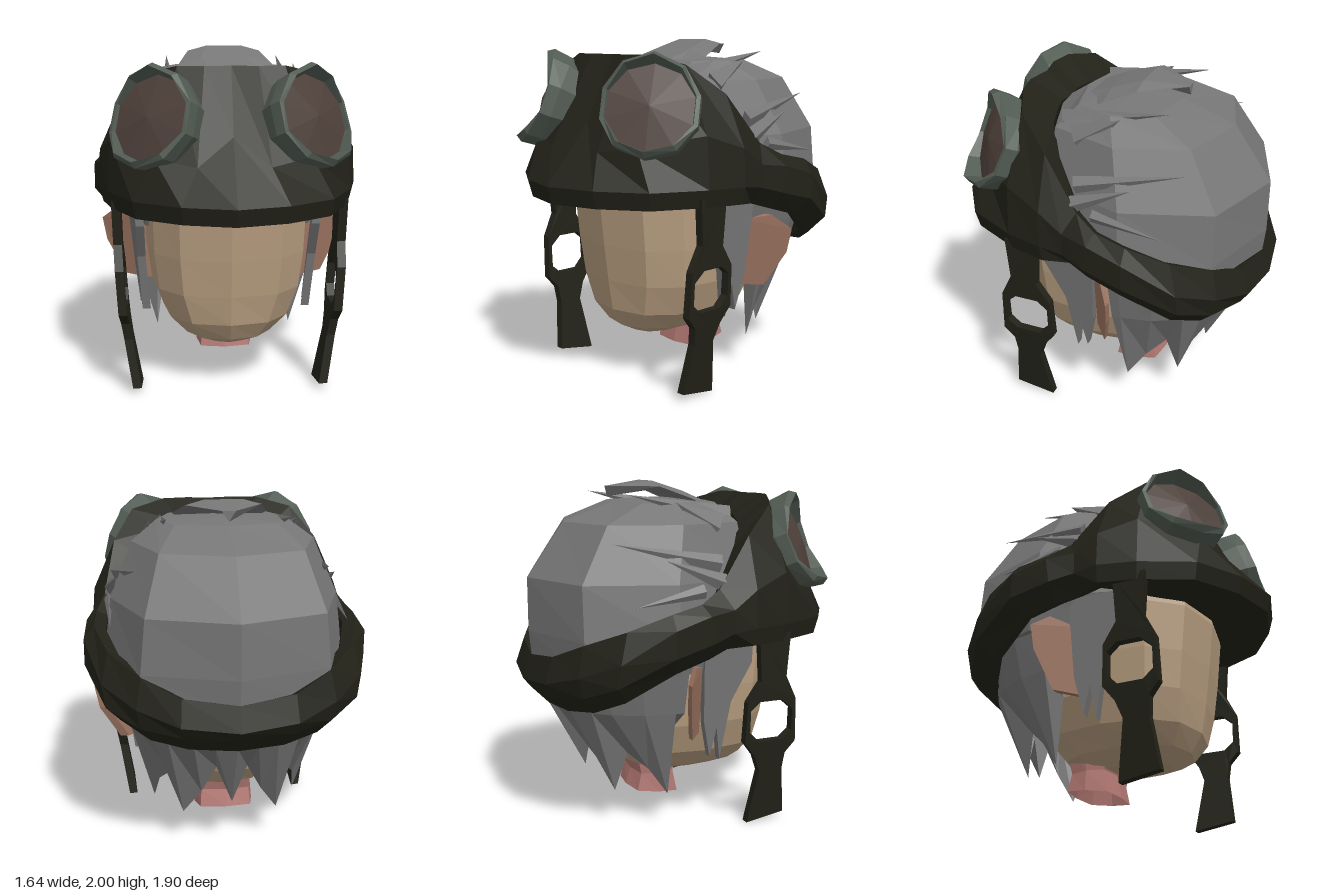
import * as THREE from 'three';

const mat = (color) => new THREE.MeshStandardMaterial({ color, flatShading: true, side: THREE.DoubleSide });
const M = {
  skin: mat(0xb89e80), ear: mat(0x9c7461), neck: mat(0xb27873), hair: mat(0x777777),
  band: mat(0x222219), rim: mat(0x525c53), lens: mat(0x4e403a),
};

// Skin a surface through cross-sections of equal length ([x, y, z] points)
function loft(sections, { closed = true, caps = false } = {}) {
  const n = sections[0].length, pos = sections.flat(2), index = [];
  const cols = closed ? n : n - 1;
  for (let s = 0; s < sections.length - 1; s++) {
    for (let i = 0; i < cols; i++) {
      const a = s * n + i, b = s * n + (i + 1) % n;
      index.push(a, b, a + n, b, b + n, a + n);
    }
  }
  if (caps) {
    for (const s of [0, sections.length - 1]) {
      const c = pos.length / 3;
      for (let k = 0; k < 3; k++) pos.push(sections[s].reduce((t, p) => t + p[k], 0) / n);
      for (let i = 0; i < n; i++) {
        const a = s * n + i, b = s * n + (i + 1) % n;
        index.push(...(s ? [a, b, c] : [b, a, c]));
      }
    }
  }
  const g = new THREE.BufferGeometry();
  g.setAttribute('position', new THREE.Float32BufferAttribute(pos, 3));
  g.setIndex(index);
  g.computeVertexNormals();
  return g;
}

// Horizontal ring: half-width w, from front z f to back z b; p < 1 makes it boxier
function ring(y, w, f, b, n = 12, p = 1) {
  const pw = (v) => Math.sign(v) * Math.abs(v) ** p;
  return Array.from({ length: n }, (_, i) => {
    const a = i / n * Math.PI * 2;
    return [w * pw(Math.sin(a)), y, (f + b) / 2 + (f - b) / 2 * pw(Math.cos(a))];
  });
}

// Thin upright panel outlined in (z, y) whose x follows a rule
function sidePanel(outline, thick, xOf, hole) {
  const toV = (p) => new THREE.Vector2(p[0], p[1]);
  const shape = new THREE.Shape(outline.map(toV));
  if (hole) shape.holes.push(new THREE.Path(hole.map(toV)));
  const g = new THREE.ExtrudeGeometry(shape, { depth: thick, bevelEnabled: false });
  const p = g.attributes.position;
  for (let i = 0; i < p.count; i++) {
    const z = p.getX(i), y = p.getY(i);
    p.setXYZ(i, xOf(y, z) + p.getZ(i), y, z);
  }
  g.computeVertexNormals();
  return g;
}

// Flattened lock of hair from base to tip
function lock(base, tip, r) {
  const a = new THREE.Vector3(...base), b = new THREE.Vector3(...tip);
  const d = b.clone().sub(a);
  const g = new THREE.ConeGeometry(r, d.length(), 4);
  g.scale(0.6, 1, 1);
  g.applyQuaternion(new THREE.Quaternion().setFromUnitVectors(new THREE.Vector3(0, 1, 0), d.normalize()));
  const c = a.add(b).multiplyScalar(0.5);
  return g.translate(c.x, c.y, c.z);
}

export function createModel() {
  const root = new THREE.Group();
  const add = (name, geo, material, parent = root) => {
    const m = new THREE.Mesh(geo, material);
    m.name = name;
    parent.add(m);
  };

  // Head and neck
  add('face', loft([
    ring(0.25, 0.14, 0.3, -0.22, 12, 0.8), ring(0.31, 0.28, 0.42, -0.34, 12, 0.8),
    ring(0.42, 0.39, 0.49, -0.43, 12, 0.8), ring(0.6, 0.46, 0.52, -0.5, 12, 0.75),
    ring(0.82, 0.49, 0.55, -0.55, 12, 0.75), ring(1.1, 0.5, 0.58, -0.55, 12, 0.75),
    ring(1.3, 0.48, 0.55, -0.5, 12, 0.75),
  ], { caps: true }), M.skin);
  const neckBase = ring(0.12, 0.18, -0.02, -0.32, 8, 0.45).map(([x, y, z]) => [x, y + (z + 0.17) * -0.12, z]);
  add('neck', loft([neckBase, ring(0.24, 0.17, -0.05, -0.29, 8, 0.45), ring(0.42, 0.19, 0, -0.34, 8, 0.45)]), M.neck);

  // Hair: broad-faceted dome, crown flap, ragged back
  add('hairDome', loft([
    ring(0.95, 0.66, 0.3, -0.89, 8, 0.85), ring(1.15, 0.7, 0.4, -0.91, 8, 0.85),
    ring(1.46, 0.66, 0.42, -0.91, 8, 0.85), ring(1.77, 0.53, 0.36, -0.69, 8, 0.82),
    ring(1.88, 0.38, 0.2, -0.38, 8, 0.75), ring(1.9, 0.05, 0, -0.2, 8),
  ], { caps: true }), M.hair);
  const flap = (z, y, w, drop) => [
    [-w, y - drop, z], [-w / 2, y, z], [0, y, z], [w / 2, y, z], [w, y - drop, z], [0, y - 0.06, z],
  ];
  add('crownFlap', loft([
    flap(0.32, 1.79, 0.05, 0), flap(0.2, 1.86, 0.2, 0.05), flap(0, 1.94, 0.28, 0.04),
    flap(-0.18, 2, 0.22, 0.03), flap(-0.42, 1.97, 0.04, 0),
  ], { caps: true }), M.hair);
  // [degrees from the back, lower edge height]
  const fringe = [[0, 0.3], [12, 0.52], [24, 0.36], [40, 0.21], [52, 0.45], [70, 0.36], [87, 0.2], [92, 0.6]];
  const strands = [...fringe.slice(1).reverse().map(([a, y]) => [-a, y]), ...fringe];
  add('hairBack', loft([[0.98, 0.64, 0.9], [0.72, 0.58, 0.8], [0, 0.43, 0.58]].map(([y, w, b], row) =>
    strands.map(([deg, tip]) => {
      const a = deg * Math.PI / 180, mid = -0.2;
      return [w * Math.sin(a), row === 2 ? tip : y, mid - (b + mid) * Math.cos(a)];
    })), { closed: false }), M.hair);

  // Headgear shell, half its stations from the back centre to the front centre:
  // upper edge, bulge and lip; the lower and inner edges follow by rule
  const { clamp } = THREE.MathUtils;
  const half = [
    [[0, 1.01, -0.9], [0, 0.87, -0.95], [0, 0.81, -0.9]],
    [[0.31, 1.05, -0.86], [0.32, 0.9, -0.91], [0.3, 0.82, -0.86]],
    [[0.52, 1.14, -0.75], [0.55, 0.97, -0.79], [0.53, 0.85, -0.76]],
    [[0.69, 1.23, -0.56], [0.73, 1.06, -0.61], [0.71, 0.93, -0.62]],
    [[0.76, 1.32, -0.33], [0.82, 1.24, -0.33], [0.82, 1.09, -0.33]],
    [[0.74, 1.36, -0.15], [0.8, 1.3, -0.12], [0.8, 1.15, -0.1]],
    [[0.69, 1.43, -0.02], [0.76, 1.32, 0.04], [0.76, 1.19, 0.04]],
    [[0.62, 1.71, 0.19], [0.75, 1.42, 0.18], [0.76, 1.21, 0.18]],
    [[0.5, 1.87, 0.38], [0.68, 1.5, 0.4], [0.7, 1.21, 0.4]],
    [[0.3, 1.92, 0.47], [0.43, 1.44, 0.68], [0.55, 1.21, 0.7]],
    [[0.15, 1.92, 0.5], [0.2, 1.4, 0.76], [0.29, 1.21, 0.87]],
    [[0, 1.92, 0.47], [0, 1.55, 0.66], [0, 1.21, 0.95]],
  ].map(([top, bulge, lip]) => {
    const low = lip[2] > 0.1 ? 0.97 : 0.89;
    const i = 0.91 - 0.26 * clamp((top[2] - 0.05) / 0.4, 0, 1);
    const j = low * (0.95 - 0.45 * clamp(lip[2], 0.04, 0.75));
    return [
      [top[0] * i, top[1] - (1 - i) * 0.35, top[2] * i], top, bulge, lip,
      [lip[0] * low, lip[1] - 0.1, lip[2] * low], [lip[0] * j, lip[1] - 0.08, lip[2] * j],
    ];
  });
  const flipped = half.slice(0, -1).reverse().map((s) => s.map(([x, y, z]) => [-x, y, z]));
  add('headgearShell', loft([...half, ...flipped]), M.band);

  // Everything that comes in pairs is built on the +x side and mirrored
  for (const side of [1, -1]) {
    const pair = new THREE.Group();
    pair.name = side > 0 ? 'leftParts' : 'rightParts';
    pair.scale.x = side;
    root.add(pair);

    // Goggle: flared ten-sided rim around a shallow faceted lens
    const goggle = new THREE.Group();
    goggle.name = 'goggle';
    goggle.position.set(0.45, 1.65, 0.6);
    goggle.quaternion.setFromUnitVectors(new THREE.Vector3(0, 1, 0), new THREE.Vector3(0.6, 0.36, 0.71).normalize());
    pair.add(goggle);
    const pts = (a) => a.map(([r, h]) => new THREE.Vector2(r, h));
    const rim = new THREE.LatheGeometry(pts([[0.24, -0.2], [0.28, -0.06], [0.285, 0.03], [0.26, 0.05], [0.245, -0.02]]), 10);
    const rp = rim.attributes.position;
    for (let i = 0; i < rp.count; i++) {
      // The rim stands proud above and below the lens and dips at its sides
      const c = Math.cos(2 * (Math.atan2(rp.getX(i), rp.getZ(i)) - 0.7));
      if (rp.getY(i) > 0) rp.setXYZ(i, rp.getX(i) * (1 + 0.03 * c), rp.getY(i) * (1 + 0.9 * c), rp.getZ(i) * (1 + 0.03 * c));
    }
    add('goggleRim', rim, M.rim, goggle);
    add('goggleLens', new THREE.LatheGeometry(pts([[0.255, -0.01], [0, 0.03]]), 10), M.lens, goggle);

    // Chin strap with its open loop
    const strapX = (y) => (y > 0.5 ? 0.6 + 0.03 * Math.min(1, (y - 0.5) * 2) : 0.52 + y * 0.16);
    add('chinStrap', sidePanel([
      [0.44, 1.16], [0.42, 0.9], [0.49, 0.76], [0.5, 0.5], [0.44, 0.43], [0.43, 0.33], [0.47, 0.04],
      [0.23, 0], [0.28, 0.33], [0.24, 0.43], [0.17, 0.52], [0.18, 0.76], [0.26, 0.88], [0.24, 1.16],
    ], 0.05, strapX, [
      [0.4, 0.76], [0.47, 0.7], [0.47, 0.57], [0.41, 0.52], [0.26, 0.52], [0.2, 0.58], [0.2, 0.71], [0.26, 0.76],
    ]), M.band, pair);

    add('ear', sidePanel([
      [-0.05, 0.97], [-0.15, 1], [-0.22, 0.92], [-0.21, 0.78], [-0.15, 0.57], [-0.05, 0.57],
    ], 0.05, (y, z) => 0.5 + (-0.05 - z) * 1.3 - Math.max(0, 0.85 - y) * 0.2), M.ear, pair);
    add('sideburn', sidePanel([
      [0.26, 1.14], [0.26, 0.97], [0.13, 0.75], [0.07, 0.4], [0.04, 0.6], [0, 0.43], [-0.05, 0.65], [-0.07, 1.12],
    ], 0.05, (y, z) => 0.55 - 0.1 * (1.1 - y) - z * 0.15), M.hair, pair);

    // Loose locks on the temples and crown
    [
      [[0.62, 1.56, 0.02], [0.53, 1.68, -0.58], 0.05], [[0.66, 1.46, 0.02], [0.63, 1.59, -0.31], 0.05],
      [[0.67, 1.42, -0.1], [0.67, 1.35, -0.5], 0.04], [[0.34, 1.8, 0.2], [0.35, 1.93, -0.42], 0.06],
      [[0.43, 1.74, 0.08], [0.43, 1.89, -0.17], 0.09],
    ].forEach(([a, b, r]) => add('hairLock', lock(a, b, r), M.hair, pair));
  }
  return root;
}
